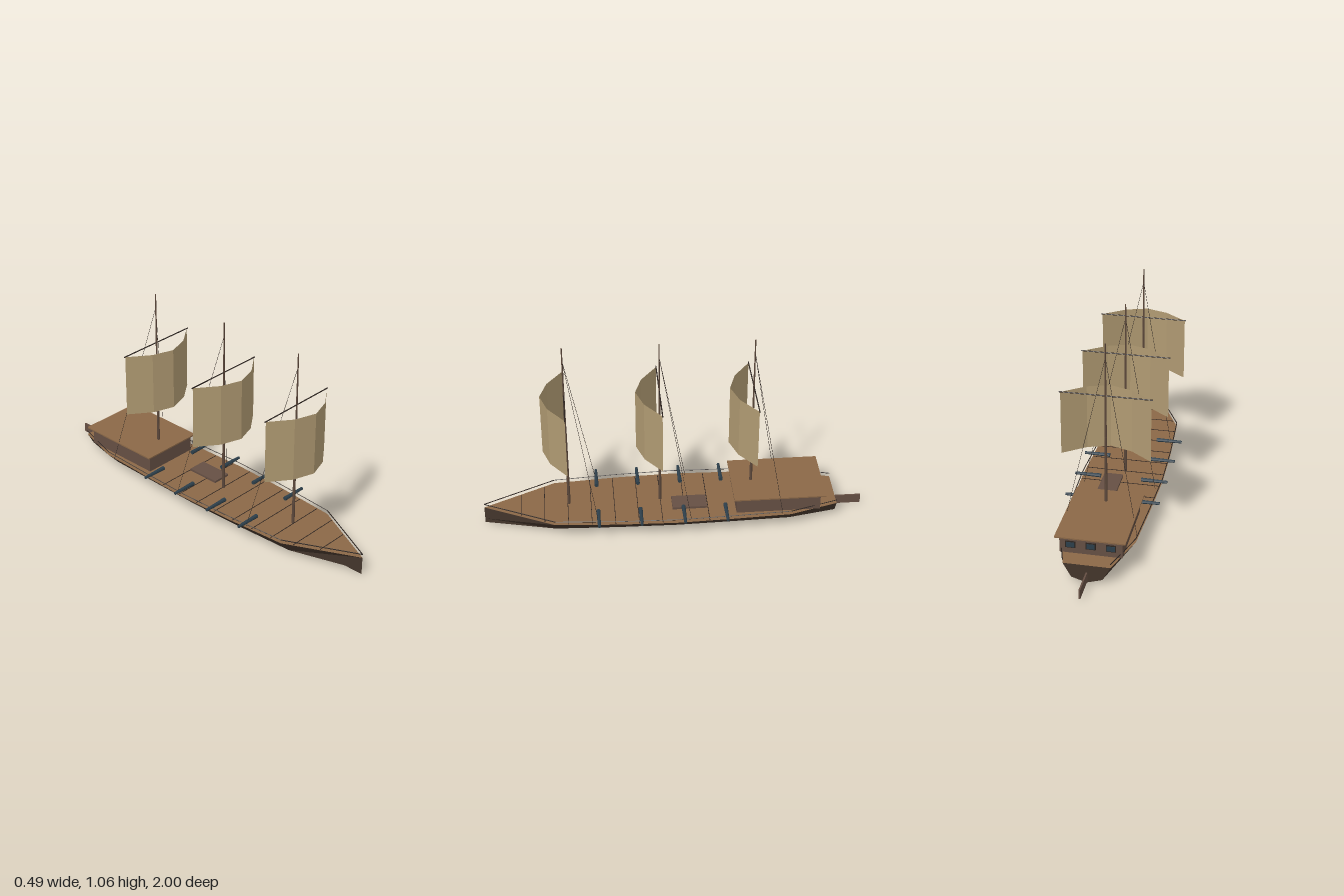
import * as THREE from 'three';

const paint = (name, color, extra = {}) => {
  const m = new THREE.MeshStandardMaterial({ color, flatShading: true, ...extra });
  m.name = name;
  return m;
};

// [z, half width at deck] from stern to bow
const STATIONS = [[-0.85, 0.117], [-0.6, 0.191], [-0.3, 0.204], [0, 0.213], [0.3, 0.203], [0.63, 0.18], [1, 0]];
const DECK_Y = 0.1;

const halfWidth = (z) => {
  for (let i = 1; i < STATIONS.length; i++) {
    const [z0, w0] = STATIONS[i - 1], [z1, w1] = STATIONS[i];
    if (z <= z1) return w0 + (w1 - w0) * (z - z0) / (z1 - z0);
  }
  return 0;
};

// Skin between open cross-sections; optionally caps the first one
function loft(sections, cap = false) {
  const pos = [];
  const tri = (...pts) => pts.forEach((p) => pos.push(...p));
  for (let i = 0; i < sections.length - 1; i++) {
    const s = sections[i], t = sections[i + 1];
    for (let j = 0; j < s.length - 1; j++) {
      tri(s[j], t[j], t[j + 1]);
      tri(s[j], t[j + 1], s[j + 1]);
    }
  }
  if (cap) for (let j = 1; j < sections[0].length - 1; j++) tri(sections[0][0], sections[0][j], sections[0][j + 1]);
  const g = new THREE.BufferGeometry();
  g.setAttribute('position', new THREE.Float32BufferAttribute(pos, 3));
  g.computeVertexNormals();
  return g;
}

export function createModel() {
  const hullWood = paint('dark hull wood', 0x43352b);
  const deckWood = paint('deck wood', 0x8b6847);
  const cabinWood = paint('cabin wood', 0x654f43);
  const mastWood = paint('mast wood', 0x5c483b);
  const rope = paint('rope and trim', 0x2c2420);
  const canvas = paint('sail canvas', 0xb09a72, { side: THREE.DoubleSide });
  const iron = paint('blue iron', 0x2c3e4a);

  const ship = new THREE.Group();
  ship.name = 'sailingShip';

  const add = (name, geometry, material, x = 0, y = 0, z = 0, parent = ship) => {
    const mesh = new THREE.Mesh(geometry, material);
    mesh.name = name;
    mesh.position.set(x, y, z);
    parent.add(mesh);
    return mesh;
  };
  const box = (name, material, w, h, d, x, y, z) =>
    add(name, new THREE.BoxGeometry(w, h, d), material, x, y, z);

  // Straight round bar from a to b
  const bar = (name, material, a, b, ra, rb = ra, sides = 6, parent = ship) => {
    const from = new THREE.Vector3(...a), to = new THREE.Vector3(...b);
    const dir = to.clone().sub(from);
    const mesh = add(name, new THREE.CylinderGeometry(rb, ra, dir.length(), sides), material, 0, 0, 0, parent);
    mesh.position.copy(from).add(to).multiplyScalar(0.5);
    mesh.quaternion.setFromUnitVectors(new THREE.Vector3(0, 1, 0), dir.normalize());
    return mesh;
  };

  // Hull and deck
  add('hull', loft(STATIONS.map(([z, w]) => [
    [w, DECK_Y, z], [w * 0.65, 0.027, z], [0, 0.003, z], [-w * 0.65, 0.027, z], [-w, DECK_Y, z],
  ]), true), hullWood);
  add('deck', loft(STATIONS.map(([z, w]) => [[-w, DECK_Y, z], [w, DECK_Y, z]])), deckWood);
  box('rudder', cabinWood, 0.008, 0.05, 0.15, 0, 0.035, -0.925);

  // Seams across the deck
  for (let i = 0; i < 9; i++) {
    const z = -0.17 + i * 0.122;
    box('deckSeam', rope, 2 * halfWidth(z) - 0.01, 0.002, 0.003, 0, DECK_Y + 0.001, z);
  }

  // Rails following the deck edge
  for (const side of [1, -1]) {
    for (let i = 1; i < STATIONS.length; i++) {
      const [z0, w0] = STATIONS[i - 1], [z1, w1] = STATIONS[i];
      bar('rail', rope, [side * w0, 0.12, z0], [side * w1, 0.12, z1], 0.0025, 0.0025, 4);
    }
  }

  // Stern cabin, roof and windows
  box('cabin', cabinWood, 0.31, 0.09, 0.44, 0, 0.145, -0.535);
  box('cabinRoof', deckWood, 0.35, 0.007, 0.48, 0, 0.1935, -0.54);
  for (const x of [-0.1, 0, 0.1]) {
    box('windowFrame', rope, 0.05, 0.036, 0.004, x, 0.148, -0.757);
    box('window', iron, 0.04, 0.026, 0.006, x, 0.148, -0.759);
  }

  box('hatch', cabinWood, 0.1, 0.012, 0.182, 0.05, 0.106, -0.075);

  // Cannons
  for (const z of [0.405, 0.185, -0.04, -0.26]) {
    for (const side of [1, -1]) {
      bar('cannon', iron, [side * 0.108, 0.125, z], [side * 0.245, 0.125, z], 0.011, 0.0075, 8);
    }
  }

  // Masts with yard, billowing sail and shrouds
  const billow = [[-0.225, 0], [-0.1125, 0.085], [0, 0.122], [0.1125, 0.085], [0.225, 0]];
  for (const z of [0.555, 0.075, -0.405]) {
    const rig = new THREE.Group();
    rig.name = 'mastAndSail';
    rig.position.z = z;
    ship.add(rig);
    bar('lowerMast', mastWood, [0, DECK_Y, 0], [0, 0.56, 0], 0.008, 0.006, 8, rig);
    bar('upperMast', mastWood, [0, 0.56, 0], [0, 1.06, 0], 0.0055, 0.003, 8, rig);
    bar('yard', rope, [-0.232, 0.783, 0], [0.232, 0.783, 0], 0.003, 0.003, 6, rig);
    add('sail', loft(billow.map(([x, d]) => [[x, 0.782, d], [x, 0.445, d]])), canvas, 0, 0, 0, rig);
    for (const side of [1, -1]) {
      bar('shroud', rope, [0, 0.985, 0], [side * 0.188, DECK_Y, -0.15], 0.001, 0.001, 4, rig);
    }
  }
  return ship;
}
